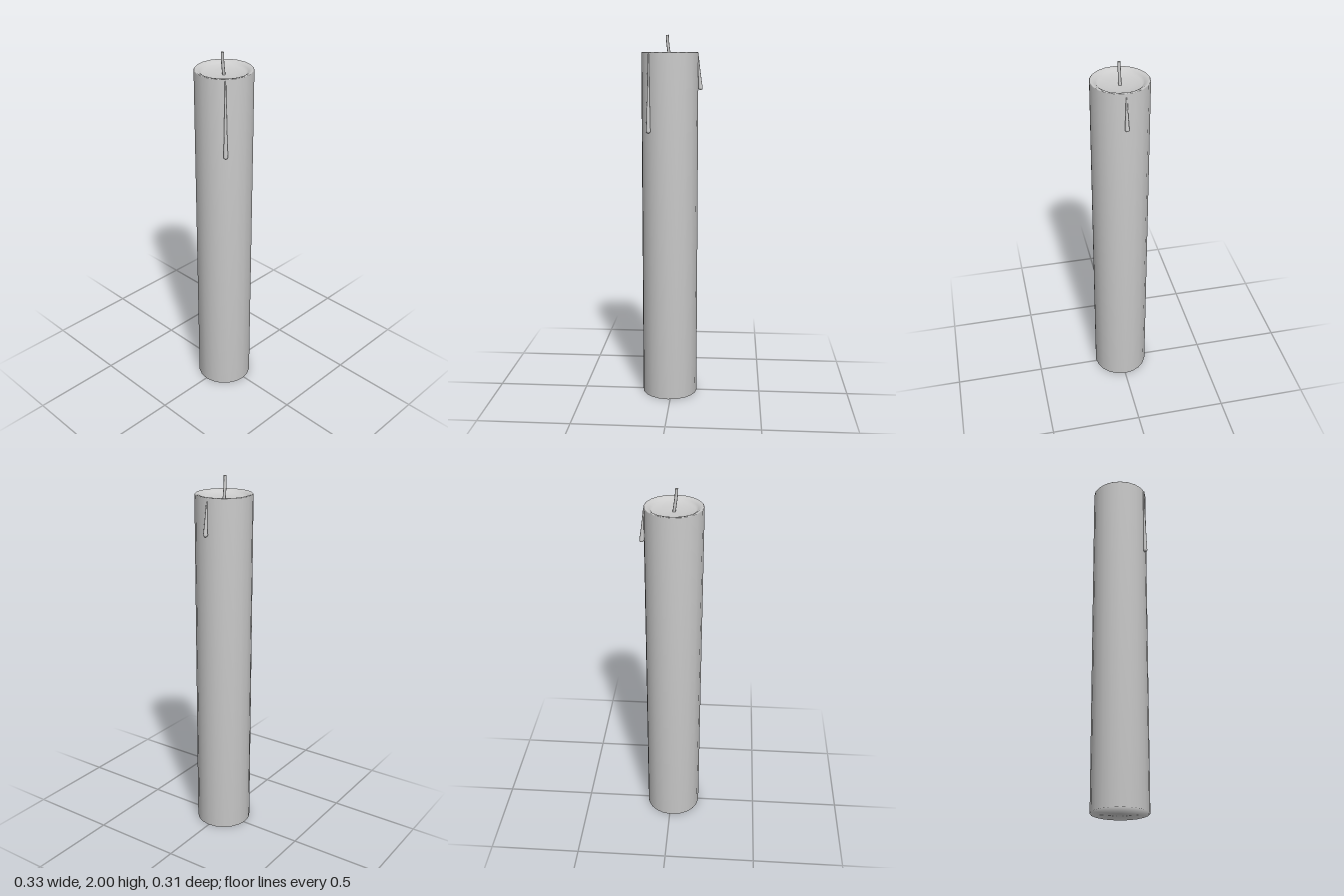
import * as THREE from 'three';

const AXIS_X = -0.012; // candle axis, offset so the drips balance the width
const wax = new THREE.MeshStandardMaterial({ color: 0xcccccc });

function part(name, geometry) {
  const mesh = new THREE.Mesh(geometry, wax);
  mesh.name = name;
  return mesh;
}

function lathe(points, sides) {
  return new THREE.LatheGeometry(points.map(([r, y]) => new THREE.Vector2(r, y)), sides);
}

// Teardrop of wax hanging from a thin top point to a round bead
function drip(name, top, bead) {
  const radius = 0.012;
  const length = top.distanceTo(bead);
  const points = [];
  for (let i = 0; i <= 6; i++) {
    const a = (i / 6) * Math.PI * 0.55;
    points.push([radius * Math.sin(a), -radius * Math.cos(a)]);
  }
  points.push([0.009, length * 0.25], [0.006, length * 0.6], [0.004, length], [0, length + 0.003]);
  const mesh = part(name, lathe(points, 12));
  mesh.position.copy(bead);
  mesh.quaternion.setFromUnitVectors(new THREE.Vector3(0, 1, 0), top.clone().sub(bead).normalize());
  return mesh;
}

export function createModel() {
  const candle = new THREE.Group();
  candle.name = 'candle';

  // Body with a soft rim and a shallow melted hollow
  const body = part('waxBody', lathe([
    [0, 0], [0.153, 0], [0.153, 1.907], [0.149, 1.911], [0.138, 1.909],
    [0.123, 1.9], [0.112, 1.889], [0.06, 1.883], [0, 1.88],
  ], 20));
  body.position.x = AXIS_X;
  candle.add(body);

  // Slightly bent wick, capped at the tip
  const path = new THREE.CatmullRomCurve3([
    new THREE.Vector3(-0.012, 1.875, 0),
    new THREE.Vector3(-0.018, 1.92, 0),
    new THREE.Vector3(-0.023, 1.96, 0.001),
    new THREE.Vector3(-0.025, 2.0, 0.002),
  ]);
  candle.add(part('wick', new THREE.TubeGeometry(path, 8, 0.008, 8)));
  const cap = part('wickTip', new THREE.CircleGeometry(0.008, 8));
  cap.rotation.x = -Math.PI / 2;
  cap.position.set(-0.025, 2.0, 0.002);
  candle.add(cap);

  // Wax drips on the side and the front
  candle.add(drip('sideDrip', new THREE.Vector3(0.139, 1.89, 0), new THREE.Vector3(0.153, 1.722, 0)));
  candle.add(drip('frontDrip', new THREE.Vector3(-0.116, 1.9, 0.113), new THREE.Vector3(-0.118, 1.499, 0.117)));

  return candle;
}
